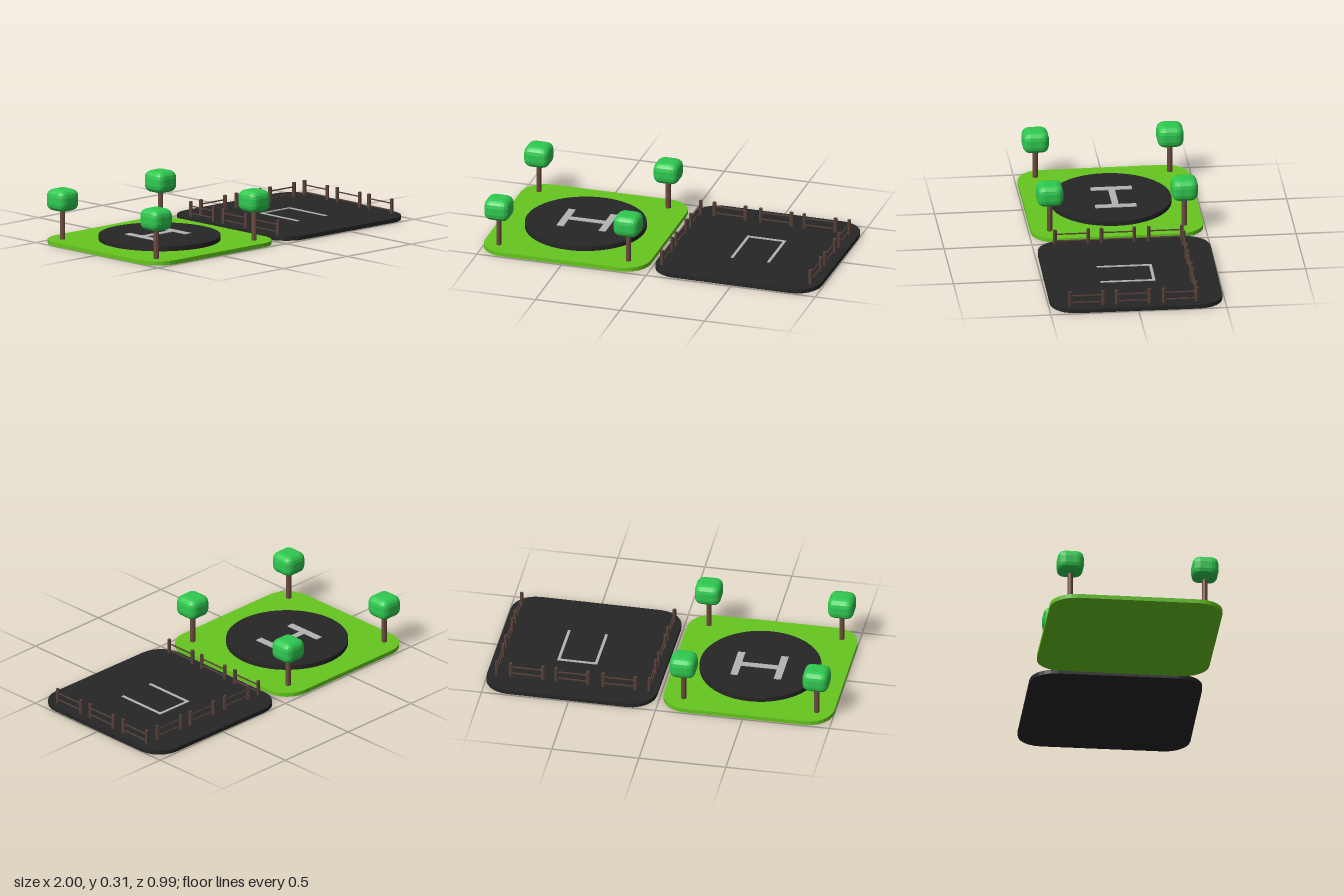
import * as THREE from 'three';
import { RoundedBoxGeometry } from 'three/addons/geometries/RoundedBoxGeometry.js';

const mat = (color) => new THREE.MeshStandardMaterial({ color, flatShading: true });
const grass = mat(0x66c71f), asphalt = mat(0x262626), paint = mat(0xb4b4b4);
const bark = mat(0x6e4c3f), wood = mat(0x59413a), leaf = mat(0x2fc950);

function add(parent, name, geometry, material, x, y, z) {
  const mesh = new THREE.Mesh(geometry, material);
  mesh.name = name;
  mesh.position.set(x, y, z);
  parent.add(mesh);
  return mesh;
}

const box = (parent, name, material, w, h, d, x, y, z) =>
  add(parent, name, new THREE.BoxGeometry(w, h, d), material, x, y, z);

// Flat slab with faceted round corners, standing on y = 0
function slab(w, d, r, h) {
  const s = new THREE.Shape();
  const a = w / 2 - r, b = d / 2 - r;
  s.absarc(a, b, r, 0, Math.PI / 2);
  s.absarc(-a, b, r, Math.PI / 2, Math.PI);
  s.absarc(-a, -b, r, Math.PI, Math.PI * 1.5);
  s.absarc(a, -b, r, Math.PI * 1.5, Math.PI * 2);
  return new THREE.ExtrudeGeometry(s, { depth: h, bevelEnabled: false, curveSegments: 3 }).rotateX(-Math.PI / 2);
}

function tree(x, z) {
  const g = new THREE.Group();
  g.name = 'tree';
  add(g, 'trunk', new THREE.CylinderGeometry(0.015, 0.015, 0.185, 8), bark, 0, 0.1125, 0);
  add(g, 'crown', new RoundedBoxGeometry(0.15, 0.125, 0.15, 2, 0.042), leaf, 0, 0.2525, 0);
  g.position.set(x, 0, z);
  return g;
}

// Two posts joined by two rails, running along local x
function fencePanel(length) {
  const g = new THREE.Group();
  g.name = 'fencePanel';
  for (const s of [-1, 1])
    add(g, 'post', new THREE.CylinderGeometry(0.011, 0.011, 0.09, 6), wood, s * length / 2, 0.065, 0);
  for (const y of [0.043, 0.084]) box(g, 'rail', wood, length, 0.006, 0.006, 0, y, 0);
  return g;
}

export function createModel() {
  const model = new THREE.Group();
  model.name = 'landingPads';

  // Grass plot with round pad, H marking and corner trees
  const green = new THREE.Group();
  green.name = 'grassPlot';
  green.position.x = -0.51;
  add(green, 'grassBase', slab(0.98, 0.98, 0.145, 0.024), grass, 0, 0, 0);
  add(green, 'roundPad', new THREE.CylinderGeometry(0.345, 0.345, 0.03, 48), asphalt, 0, 0.036, 0);
  for (const x of [-0.122, 0.127]) box(green, 'markingSide', paint, 0.042, 0.008, 0.235, x, 0.051, -0.017);
  box(green, 'markingBar', paint, 0.215, 0.008, 0.038, 0.002, 0.051, -0.017);
  for (const x of [-0.395, 0.37])
    for (const z of [-0.38, 0.385]) green.add(tree(x, z));
  model.add(green);

  // Asphalt plot with U marking, turned very slightly
  const dark = new THREE.Group();
  dark.name = 'asphaltPlot';
  dark.position.x = 0.505;
  dark.rotation.y = -0.01;
  add(dark, 'asphaltBase', slab(0.98, 0.98, 0.145, 0.024), asphalt, 0, 0, -0.003);
  for (const x of [-0.095, 0.12]) box(dark, 'markingSide', paint, 0.016, 0.006, 0.31, x, 0.025, 0.022);
  box(dark, 'markingBar', paint, 0.23, 0.006, 0.016, 0.0125, 0.025, -0.127);

  // Fence on three sides, open to the front
  for (const [a, b] of [[-0.365, -0.18], [-0.09, 0.092], [0.168, 0.353]]) {
    const panel = fencePanel(b - a);
    panel.position.set((a + b) / 2, 0, -0.341);
    dark.add(panel);
  }
  for (const x of [-0.445, 0.435])
    for (const [a, b] of [[-0.34, -0.152], [-0.07, 0.116], [0.192, 0.38]]) {
      const panel = fencePanel(b - a);
      panel.rotation.y = Math.PI / 2;
      panel.position.set(x, 0, (a + b) / 2);
      dark.add(panel);
    }
  model.add(dark);
  return model;
}
